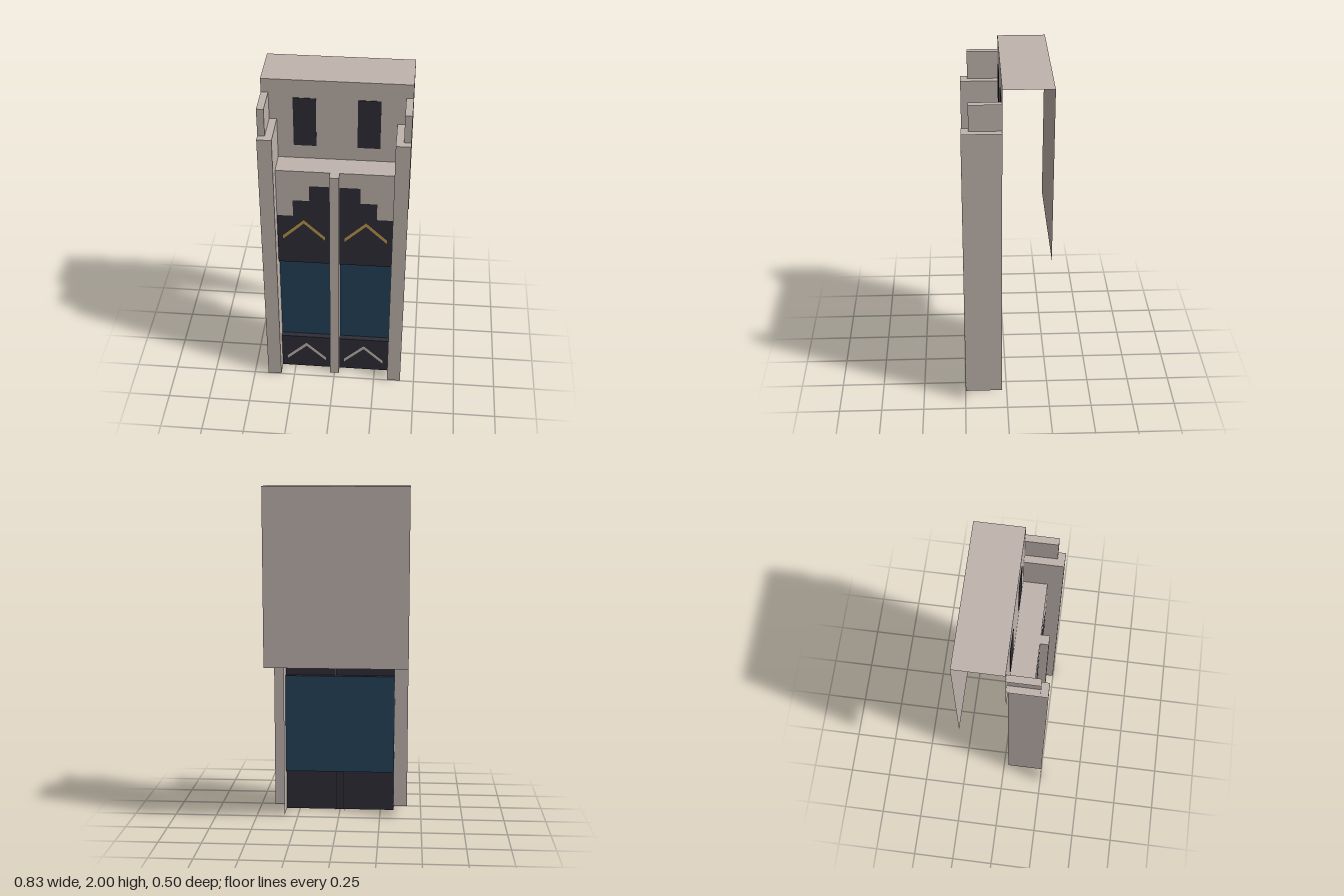
import * as THREE from 'three';

const flat = (name, color) => {
  const m = new THREE.MeshStandardMaterial({ color, side: THREE.DoubleSide });
  m.name = name;
  return m;
};

export function createModel() {
  const stone = flat('stone', 0xc0b4ad);
  const dark = flat('dark panel', 0x2d2d36);
  const blue = flat('blue glass', 0x23425a);
  const gold = flat('gold', 0xba974a);

  const model = new THREE.Group();
  model.name = 'facade';

  const add = (parent, name, geometry, material) => {
    const mesh = new THREE.Mesh(geometry, material);
    mesh.name = name;
    parent.add(mesh);
    return mesh;
  };
  // Open sheets: facing +z, +y and sideways
  const wall = (p, name, mat, x0, x1, y0, y1, z) =>
    add(p, name, new THREE.PlaneGeometry(x1 - x0, y1 - y0)
      .translate((x0 + x1) / 2, (y0 + y1) / 2, z), mat);
  const deck = (p, name, mat, x0, x1, z0, z1, y) =>
    add(p, name, new THREE.PlaneGeometry(x1 - x0, z1 - z0).rotateX(-Math.PI / 2)
      .translate((x0 + x1) / 2, y, (z0 + z1) / 2), mat);
  const side = (p, name, mat, z0, z1, y0, y1, x) =>
    add(p, name, new THREE.PlaneGeometry(z1 - z0, y1 - y0)
      .rotateY(x < 0 ? Math.PI / 2 : -Math.PI / 2)
      .translate(x, (y0 + y1) / 2, (z0 + z1) / 2), mat);
  const outline = (p, name, mat, points, z) =>
    add(p, name, new THREE.ShapeGeometry(
      new THREE.Shape(points.map(([x, y]) => new THREE.Vector2(x, y)))).translate(0, 0, z), mat);

  const W = 0.415, IN = 0.333, MID = 0.027;
  const BACK = -0.25, UPPER = 0.027, FACE = 0.165, GLASS = 0.132;

  // Upper block: front, roof and long back sheet, open at the ends
  const upper = new THREE.Group();
  upper.name = 'upperBlock';
  model.add(upper);
  wall(upper, 'upperWall', stone, -W, W, 1.5, 2, UPPER);
  deck(upper, 'roof', stone, -W, W, BACK, UPPER, 2);
  wall(upper, 'backWall', stone, -W, W, 0.97, 2, BACK).geometry.rotateY(Math.PI).translate(0, 0, 2 * BACK);
  deck(model, 'ledge', stone, -IN, IN, UPPER, FACE, 1.5);

  // Stepped dark panel and the stone above it share the same outline
  const half = [[0.335, 1.19], [0.24, 1.19], [0.24, 1.3], [0.145, 1.3], [0.145, 1.403]]
    .map(([x, y]) => [Math.min(x, IN), y]);
  const steps = [...half, ...half.map(([x, y]) => [-x, y]).reverse()];
  outline(model, 'steppedPanel', dark, [[-IN, 0.85], [IN, 0.85], ...steps], FACE);
  outline(model, 'stoneHeader', stone, [[IN, 1.5], [-IN, 1.5], ...steps.slice().reverse()], FACE);

  // Recessed glass band with its dark sill and head, and the base panel
  wall(model, 'basePanel', dark, -IN, IN, 0, 0.25, FACE);
  wall(model, 'glassBand', blue, -IN, IN, 0.25, 0.85, GLASS);
  for (const [name, y] of [['sill', 0.25], ['glassHead', 0.85]])
    deck(model, name, dark, -IN, IN, GLASS, FACE, y);

  // Centre mullion
  const mullion = new THREE.Group();
  mullion.name = 'mullion';
  model.add(mullion);
  wall(mullion, 'mullionFront', stone, -MID, MID, 0, 1.5, 0.214);
  deck(mullion, 'mullionTop', stone, -MID, MID, FACE, 0.214, 1.5);

  for (const s of [1, -1]) {
    const label = s > 0 ? 'left' : 'right';
    const span = (a, b) => (s > 0 ? [a, b] : [-b, -a]);
    side(mullion, label + 'MullionSide', stone, GLASS, 0.214, 0, 1.5, s * MID);

    // Corner pillar and the smaller block on top, open outside and behind
    const pillar = new THREE.Group();
    pillar.name = label + 'Pillar';
    model.add(pillar);
    for (const [name, x, y0, y1, z] of [['shaft', IN, 0, 1.75, 0.248], ['cap', 0.375, 1.75, 1.917, 0.207]]) {
      wall(pillar, name + 'Front', stone, ...span(x, W), y0, y1, z);
      deck(pillar, name + 'Top', stone, ...span(x, W), UPPER, z, y1);
      side(pillar, name + 'Side', stone, UPPER, z, y0, y1, s * x);
    }

    // Window plate in the upper wall
    const [w0, w1] = span(0.115, 0.242);
    add(model, label + 'Window', new THREE.BoxGeometry(w1 - w0, 0.305, 0.003)
      .translate((w0 + w1) / 2, 1.738, UPPER + 0.002), dark);

    // Chevrons: gold above, stone below
    for (const [name, mat, top, t] of [['UpperChevron', gold, 1.165, 0.025], ['LowerChevron', stone, 0.2, 0.025]]) {
      const c = s * 0.179, h = 0.122, drop = 0.117;
      outline(model, label + name, mat, [
        [c - h, top - drop - t], [c, top - t], [c + h, top - drop - t],
        [c + h, top - drop], [c, top], [c - h, top - drop],
      ], FACE + 0.003);
    }
  }
  return model;
}
